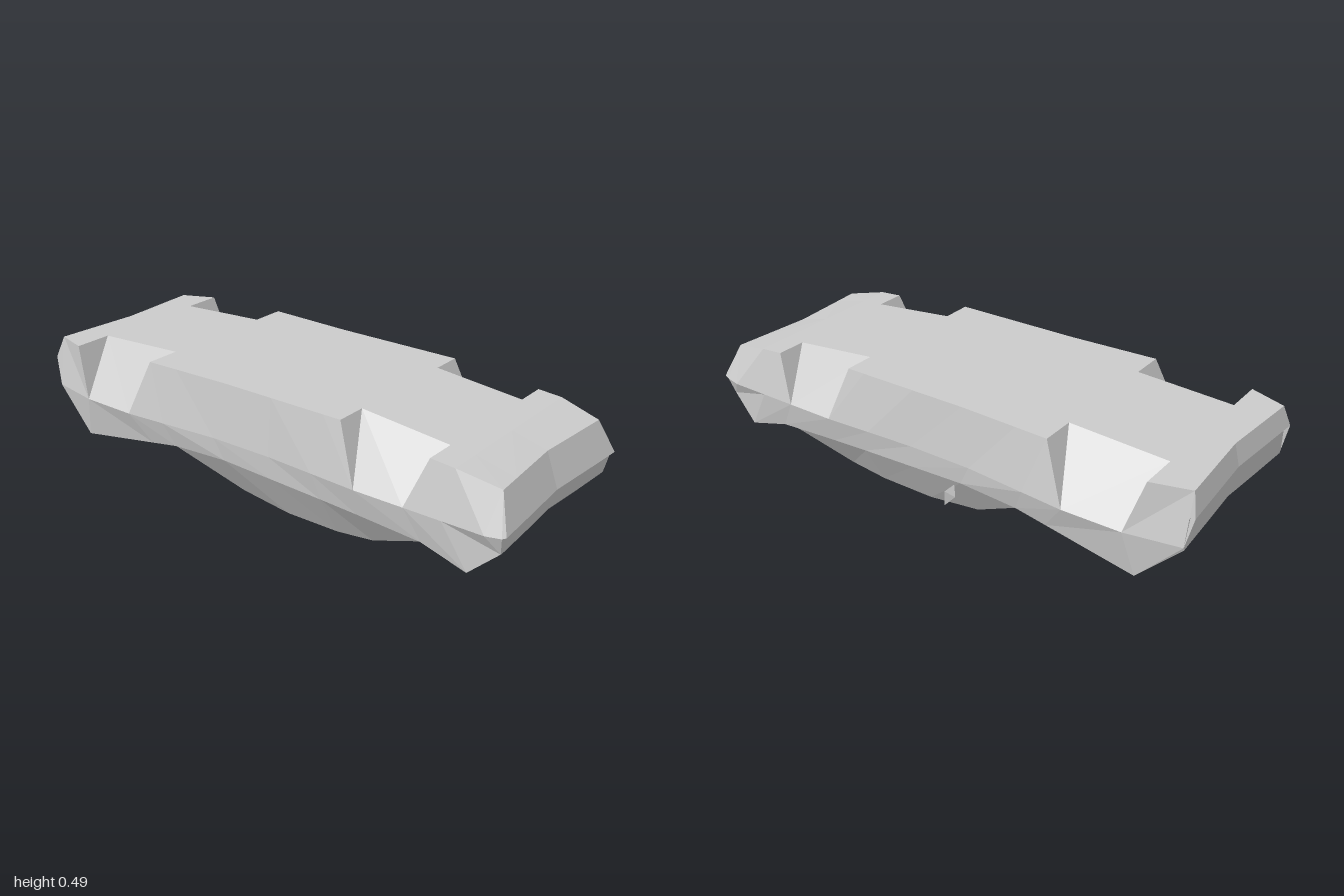
import * as THREE from 'three';

const CENTRE = -0.01; // the shell sits slightly off centre because of the mirror
const BELT_Y = 0.279;
const INNER_FLOOR = 0.228;
const INNER_ROOF = 0.165;

// Straight-line profile along the length, given as z, value pairs from front to rear
function profile(...points) {
  return (z) => {
    let i = 1;
    while (i < points.length - 1 && z < points[i][0]) i++;
    const [z0, v0] = points[i - 1];
    const [z1, v1] = points[i];
    return THREE.MathUtils.lerp(v0, v1, THREE.MathUtils.clamp((z - z0) / (z1 - z0), 0, 1));
  };
}

// Flat underside, facing up
const floorY = profile([0.955, 0.416], [0.8, 0.45], [0.71, 0.457], [0.37, 0.49], [-0.475, 0.49], [-0.842, 0.471], [-0.98, 0.466]);
const floorX = profile([0.955, 0.32], [0.8, 0.345], [-0.13, 0.345], [-0.842, 0.375], [-0.98, 0.33]);
// Widest line and lower edge of the sides
const beltX = profile([0.93, 0.38], [0.45, 0.383], [0.08, 0.365], [-0.17, 0.367], [-0.56, 0.402], [-0.78, 0.4], [-0.975, 0.365]);
const sillY = profile([0.975, 0.218], [0.87, 0.122], [0.7, 0.168], [0.45, 0.18], [-0.13, 0.2], [-0.36, 0.19], [-0.82, 0.115], [-0.975, 0.268]);
const sillX = profile([0.975, 0.35], [0.87, 0.365], [0.3, 0.358], [-0.13, 0.358], [-0.82, 0.372], [-0.975, 0.36]);
// Bonnet, cabin and boot, facing down
const roofY = profile([0.975, 0.216], [0.87, 0.13], [0.7, 0.158], [0.45, 0.04], [0.3, 0.021], [0.08, 0.017], [-0.13, 0.04], [-0.36, 0.187], [-0.82, 0.108], [-0.975, 0.268]);
const roofX = profile([0.7, 0.335], [0.45, 0.265], [-0.13, 0.257], [-0.36, 0.335]);
const crown = profile([0.7, 0.003], [0.45, 0.011], [0.08, 0.016], [-0.36, 0.002], [-0.82, 0.016], [-0.975, 0.002]);

// Where each cross-section meets the floor, the belt and the lower body
const stations = [
  [0.955, 0.93, 0.975], [0.8, 0.78, 0.87],
  [0.71, 0.64, 0.7], [0.37, 0.45, 0.45],
  [0.3, 0.27, 0.3], [0.08, 0.08, 0.08], [-0.13, -0.17, -0.13], [-0.35, -0.4, -0.36],
  [-0.475, -0.56, -0.48], [-0.842, -0.78, -0.82],
  [-0.98, -0.975, -0.975],
];
const notchStarts = [2, 8];
const notchEnds = [3, 9];

// Both ends are drawn in towards the middle
function pinch([x, y, z]) {
  const depth = Math.abs(z) > 0.93 ? 0.026 * Math.max(0, 1 - x / 0.36) : 0;
  return [x, y, z - Math.sign(z) * depth];
}

// Half section from the middle of the floor, out to the side and in under the roof
function bodyRing([zFloor, zBelt, zLow], notched) {
  const y = floorY(zFloor);
  const roof = roofY(zLow);
  const zRoof = zLow === -0.82 ? -0.75 : zLow; // boot edge is cut back between its corners
  return [
    [0, y, zFloor],
    [INNER_FLOOR, y, zFloor],
    [notched ? INNER_FLOOR : floorX(zFloor), y, zFloor],
    [beltX(zBelt), BELT_Y, zBelt],
    [sillX(zLow), sillY(zLow), zLow],
    [roofX(zLow), roof, zLow],
    [INNER_ROOF, roof - crown(zLow), zRoof],
    [0, roof - crown(zLow), zLow],
  ].map(pinch);
}

// Half section at a bumper: an overhanging upper lip above a recessed line
function lipRing(halfWidth, lipY, lipZ, recessY, recessZ) {
  const upper = [0, INNER_FLOOR, halfWidth].map((x) => [x, lipY, lipZ]);
  const lower = [halfWidth, halfWidth, 0.335, INNER_ROOF, 0].map((x) => [x, recessY, recessZ]);
  return [...upper, ...lower].map(pinch);
}

// Joins neighbouring rings with triangles, for both sides, skipping collapsed ones
function loftMirrored(sections) {
  const positions = [];
  const same = (p, q) => p.every((v, i) => Math.abs(v - q[i]) < 1e-6);
  const triangle = (a, b, c) => {
    if (same(a, b) || same(b, c) || same(a, c)) return;
    for (const [x, y, z] of [a, b, c]) positions.push(x, y, z);
    for (const [x, y, z] of [a, c, b]) positions.push(-x, y, z);
  };
  for (let r = 0; r < sections.length - 1; r++) {
    for (let i = 0; i < sections[r].length - 1; i++) {
      const [a, b] = sections[r].slice(i, i + 2);
      const [c, d] = sections[r + 1].slice(i, i + 2);
      triangle(a, b, c);
      triangle(b, d, c);
    }
  }
  const geometry = new THREE.BufferGeometry();
  geometry.setAttribute('position', new THREE.Float32BufferAttribute(positions, 3));
  geometry.computeVertexNormals();
  return geometry;
}

export function createModel() {
  const model = new THREE.Group();
  model.name = 'upturnedCarShell';
  const grey = new THREE.MeshStandardMaterial({ color: 0xcccccc, flatShading: true });
  grey.name = 'plain grey';

  // Front bumper, body with wheel notches, rear bumper
  const rings = [
    lipRing(0.37, 0.283, 0.985, 0.283, 0.985),
    lipRing(0.37, 0.292, 1, 0.283, 0.985),
  ];
  stations.forEach((station, i) => {
    if (notchEnds.includes(i)) rings.push(bodyRing(station, true));
    rings.push(bodyRing(station, false));
    if (notchStarts.includes(i)) rings.push(bodyRing(station, true));
  });
  rings.push(
    lipRing(0.355, 0.387, -1, 0.38, -0.98),
    lipRing(0.355, 0.38, -0.98, 0.38, -0.98),
  );

  // Body shell, lying on its roof
  const body = new THREE.Mesh(loftMirrored(rings), grey);
  body.name = 'bodyShell';
  body.position.x = CENTRE;
  model.add(body);

  // Single wing mirror: a shallow four-sided pyramid with its base to the front
  const shape = new THREE.ConeGeometry(0.055 / Math.SQRT2, 0.025, 4);
  shape.rotateY(Math.PI / 4);
  shape.rotateX(-Math.PI / 2);
  const mirror = new THREE.Mesh(shape, grey);
  mirror.name = 'wingMirror';
  mirror.position.set(0.388, 0.168, -0.125);
  model.add(mirror);

  return model;
}
